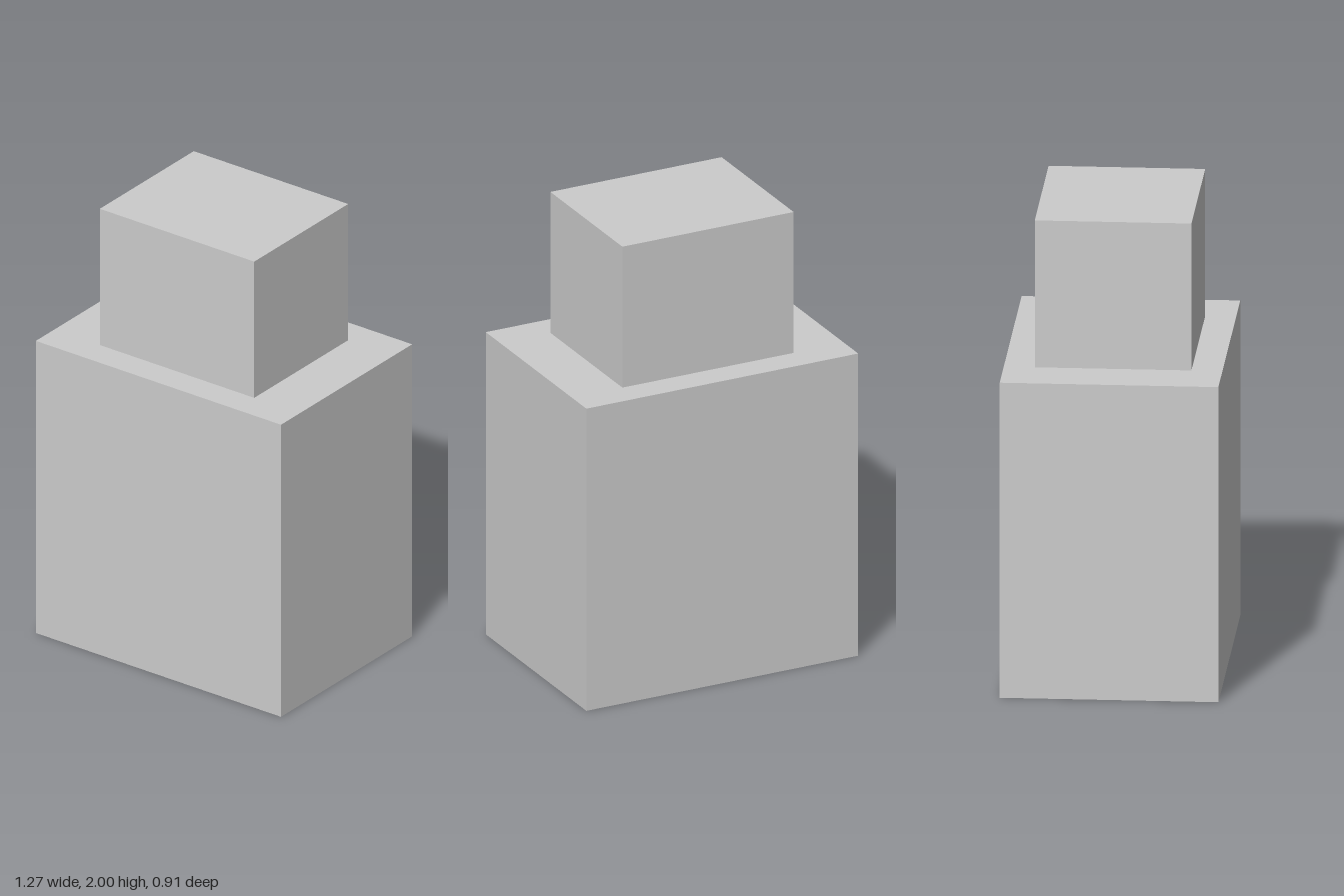
import * as THREE from 'three';

const material = new THREE.MeshStandardMaterial({ color: 0xcccccc, flatShading: true });

// Box standing on the given base height
function block(name, width, height, depth, baseY) {
  const mesh = new THREE.Mesh(new THREE.BoxGeometry(width, height, depth), material);
  mesh.name = name;
  mesh.position.y = baseY + height / 2;
  return mesh;
}

export function createModel() {
  const group = new THREE.Group();
  group.name = 'steppedBlocks';
  const shoulderY = 1.364;

  // Large lower block with a smaller block centred on top
  group.add(block('lowerBlock', 1.27, shoulderY, 0.91, 0));
  group.add(block('upperBlock', 0.8, 2 - shoulderY, 0.652, shoulderY));
  return group;
}
